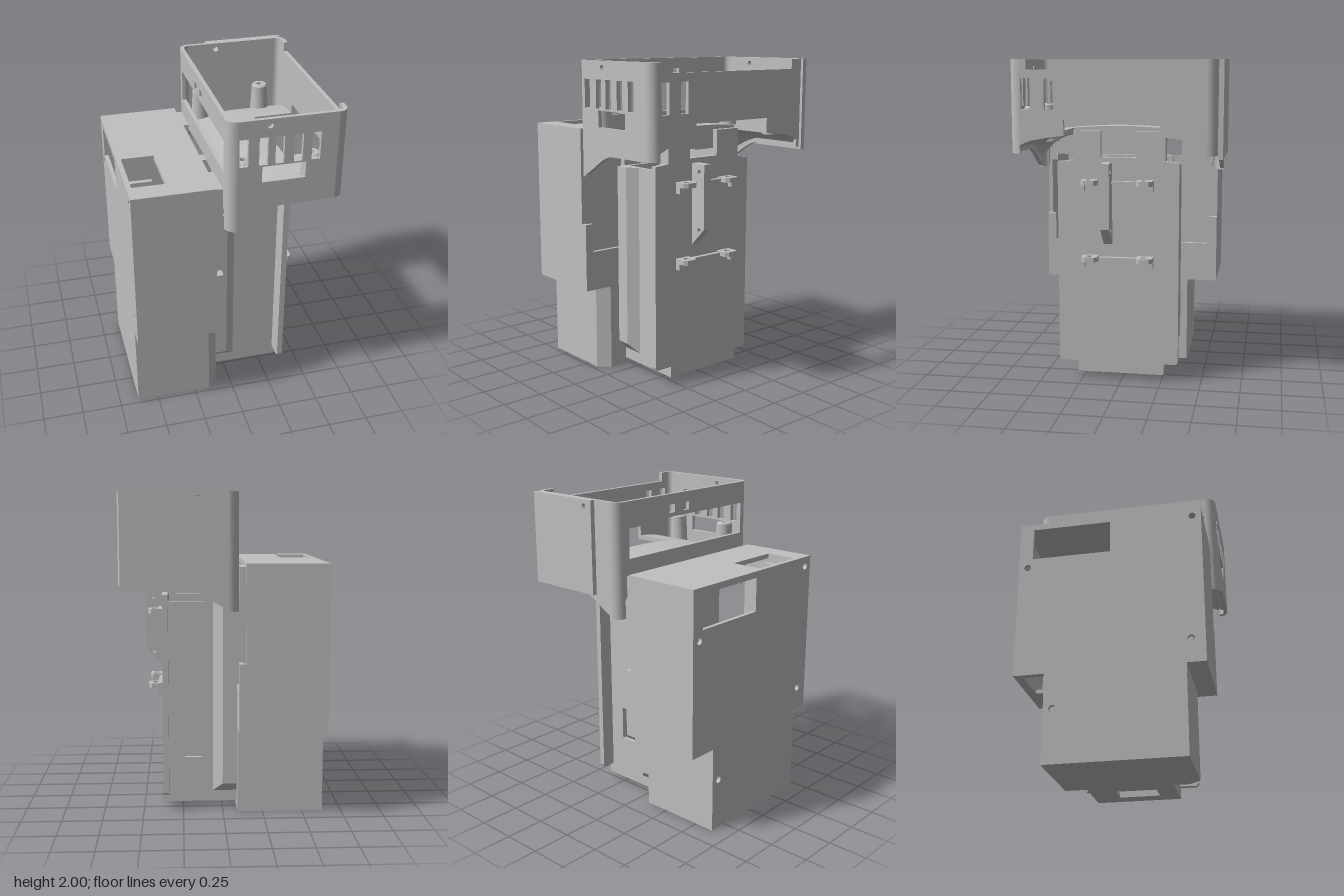
import * as THREE from 'three';
import { toCreasedNormals } from 'three/addons/utils/BufferGeometryUtils.js';

export function createModel() {
  const model = new THREE.Group();
  const grey = new THREE.MeshStandardMaterial({ color: 0xc0c0c0 });
  grey.name = 'light grey plastic';

  const add = (name, geometry) => {
    const mesh = new THREE.Mesh(geometry, grey);
    mesh.name = name;
    model.add(mesh);
  };
  // box given by its limits on each axis
  const box = (name, x0, x1, y0, y1, z0, z1) =>
    add(name, new THREE.BoxGeometry(x1 - x0, y1 - y0, z1 - z0)
      .translate((x0 + x1) / 2, (y0 + y1) / 2, (z0 + z1) / 2));
  const rect = (a0, a1, b0, b1) => [[a0, b0], [a1, b0], [a1, b1], [a0, b1]];
  const disc = (a, b, r, n = 12) => Array.from({ length: n }, (_, i) =>
    [a + r * Math.cos(i / n * 2 * Math.PI), b + r * Math.sin(i / n * 2 * Math.PI)]);
  const extrude = (points, holes, depth) => {
    const vec = (list) => list.map(([a, b]) => new THREE.Vector2(a, b));
    const shape = new THREE.Shape(vec(points));
    holes.forEach((h) => shape.holes.push(new THREE.Path(vec(h))));
    return toCreasedNormals(new THREE.ExtrudeGeometry(shape, { depth, bevelEnabled: false }), 0.5);
  };
  // panels with an outline in (x, y), (z, y) and (x, z)
  const panelXY = (name, pts, holes, z0, z1) =>
    add(name, extrude(pts, holes, z1 - z0).translate(0, 0, z0));
  const panelZY = (name, pts, holes, x0, x1) =>
    add(name, extrude(pts, holes, x1 - x0).rotateY(-Math.PI / 2).translate(x1, 0, 0));
  const panelXZ = (name, pts, holes, y0, y1) =>
    add(name, extrude(pts, holes, y1 - y0).rotateX(Math.PI / 2).translate(0, y1, 0));

  // ---- side box, hollow, with a narrower foot ----
  panelZY('sideBoxOuterWall',
    [[-0.365, 0], [0.47, 0], [0.47, 0.55], [0.585, 0.55], [0.585, 1.58], [-0.555, 1.58], [-0.555, 0.55], [-0.365, 0.55]],
    [rect(-0.47, 0.02, 1.33, 1.54), disc(0.53, 1.52, 0.022), disc(-0.5, 1.27, 0.022),
      disc(0.5, 0.7, 0.022), disc(-0.31, 0.33, 0.022)], -0.63, -0.605);
  const sideProfile = [[-0.605, 0.55], [-0.09, 0.55], [-0.09, 0.98], [-0.13, 0.98], [-0.13, 1.58], [-0.605, 1.58]];
  panelXY('sideBoxFrontWall', sideProfile, [], 0.56, 0.585);
  panelXY('sideBoxBackWall', sideProfile, [], -0.555, -0.53);
  panelXZ('sideBoxTop', rect(-0.605, -0.13, -0.53, 0.56), [rect(-0.6, -0.4, 0.09, 0.45)], 1.55, 1.58);
  panelXZ('sideBoxBottom', rect(-0.605, -0.09, -0.53, 0.56), [rect(-0.59, -0.34, -0.5, -0.37)], 0.55, 0.575);
  panelZY('sideBoxInnerWall',
    [[-0.53, 0.575], [0.56, 0.575], [0.56, 0.98], [0.53, 0.98], [0.53, 0.8], [-0.49, 0.8], [-0.49, 0.98], [-0.53, 0.98]],
    [], -0.115, -0.09);
  box('sideBoxRib', -0.6, -0.46, 1.38, 1.55, 0.32, 0.35);
  box('sideBoxInnerRib', -0.605, -0.54, 0.575, 1.12, 0.44, 0.47);
  for (const [z0, z1] of [[0.34, 0.56], [-0.53, -0.32]]) {
    box('sideBoxTabPanel', -0.13, -0.09, 1.38, 1.56, z0, z1);
    const outer = z0 > 0 ? z1 - 0.05 : z0;
    box('sideBoxTabLip', -0.13, -0.08, 1.34, 1.38, outer, outer + 0.05);
  }
  panelXZ('sideBoxFoot',
    [[-0.605, -0.365], [-0.09, -0.365], [-0.09, 0.4], [-0.155, 0.47], [-0.605, 0.47]], [], 0, 0.55);

  // ---- upright column, open at the top ----
  box('columnFrontWall', -0.09, 0.34, 0.04, 1.33, 0.255, 0.28);
  panelXY('columnBackWall', rect(-0.09, 0.34, 0.04, 1.33), [rect(0.13, 0.24, 0.33, 0.55)], -0.265, -0.24);
  box('columnInnerWall', -0.09, -0.065, 0.04, 1.33, -0.24, 0.255);
  box('columnBackRail', -0.125, -0.09, 0.56, 1.38, -0.265, 0.28);
  panelXZ('columnBottom', rect(-0.065, 0.34, -0.24, 0.255),
    [rect(0.13, 0.27, -0.1, 0.16), rect(-0.03, 0.04, 0.02, 0.1)], 0.04, 0.065);

  // raised strips with a sloped side and a sloped lower end
  for (const [base, dir] of [[0.28, 1], [-0.265, -1]]) {
    const g = new THREE.BoxGeometry(0.15, 1.22, 0.055).translate(-0.015, 0.72, base + dir * 0.0275);
    const p = g.attributes.position;
    for (let i = 0; i < p.count; i++) {
      if (Math.abs(p.getZ(i) - base) < 0.03) continue;
      if (p.getX(i) > 0) p.setX(i, 0);
      if (p.getY(i) < 0.5) p.setY(i, 0.17);
    }
    g.computeVertexNormals();
    add('columnStrip', g);
  }

  // mounting plate, reaching up to the tray
  panelZY('mountingPlate',
    [[-0.265, 0.04], [0.28, 0.04], [0.28, 0.11], [0.385, 0.11], [0.4, 0.125], [0.4, 1.38], [0.3, 1.39], [0.3, 1.57],
      [0.13, 1.57], [0.13, 1.41], [-0.09, 1.41], [-0.09, 1.57], [-0.27, 1.57], [-0.27, 1.39], [-0.355, 1.38],
      [-0.355, 0.125], [-0.34, 0.11], [-0.265, 0.11]], [], 0.34, 0.375);
  box('plateBeam', 0.29, 0.34, 1.46, 1.57, -0.09, 0.13);
  for (const z of [0.27, -0.27]) box('plateGusset', 0.29, 0.34, 1.38, 1.57, z, z + 0.03);
  panelXY('mountingFin', [[0.375, 0.87], [0.485, 0.98], [0.485, 1.38], [0.375, 1.38]],
    [disc(0.44, 0.97, 0.015), disc(0.44, 1.33, 0.015)], 0.058, 0.112);

  // paired lugs joined by a thin bar
  for (const y of [0.785, 1.26]) {
    box('bracketBar', 0.375, 0.405, y - 0.012, y + 0.006, -0.12, 0.15);
    for (const z of [0.19, -0.15]) {
      panelXZ('bracketLug',
        [[0.375, z - 0.05], [0.445, z - 0.05], [0.465, z - 0.03], [0.465, z + 0.03], [0.445, z + 0.05], [0.375, z + 0.05]],
        [disc(0.42, z, 0.022)], y - 0.015, y + 0.015);
      const end = z > 0 ? z + 0.038 : z - 0.05;
      box('bracketTail', 0.375, 0.41, y - 0.055, y - 0.015, end, end + 0.012);
    }
  }

  // ---- tray on top, with a gently arched floor that drops at the ends ----
  const floorY = (x, z) => {
    const t = Math.abs(z - 0.0125) / 0.61;
    const side = 1 - THREE.MathUtils.smoothstep(x, -0.1, 0.26);
    return 1.6 - 0.03 * side - 0.06 * t ** 2 - 0.06 * t ** 10 - 0.12 * side * t ** 8;
  };
  const floor = (x0, x1, z0, z1, nx, nz) => {
    const g = new THREE.BoxGeometry(x1 - x0, 0.03, z1 - z0, nx, 1, nz)
      .translate((x0 + x1) / 2, 0, (z0 + z1) / 2);
    const p = g.attributes.position;
    for (let i = 0; i < p.count; i++) p.setY(i, p.getY(i) - 0.015 + floorY(p.getX(i), p.getZ(i)));
    g.computeVertexNormals();
    add('trayFloor', g);
  };
  floor(-0.06, 0.34, -0.58, 0.605, 12, 48);
  floor(0.34, 0.605, -0.58, -0.27, 4, 14);
  floor(0.34, 0.605, 0.3, 0.605, 4, 14);

  const steps = (a, b, n, f) => Array.from({ length: n + 1 }, (_, i) => {
    const t = a + (b - a) * i / n;
    return [t, f(t) - 0.03];
  });
  const X0 = -0.085, X1 = 0.625, Z0 = -0.6, Z1 = 0.625, R = 0.06, T = 0.025;
  const slots = [-0.015, 0.1, 0.195, 0.305, 0.41].map((x) => rect(x, x + 0.052, 1.72, 1.89));
  const endWall = (z) => [...steps(X0 + R, X1 - R, 14, (x) => floorY(x, z)), [X1 - R, 2], [X0 + R, 2]];
  panelXY('trayFrontWall', endWall(Z1),
    [...slots, rect(0.12, 0.38, 1.61, 1.71), disc(0.16, 1.96, 0.018, 6)], Z1 - T, Z1);
  panelXY('trayBackWall', endWall(Z0), [disc(0.16, 1.96, 0.018, 6)], Z0, Z0 + T);
  panelXY('trayBackPad', rect(0.1, 0.61, 1.43, 2), [disc(0.16, 1.96, 0.018, 6)], -0.63, Z0);

  // outer long wall, cut away over the floor opening and along its rim
  panelZY('trayOuterWall',
    [...steps(Z0 + R, -0.27, 10, (z) => floorY(X1, z)), [-0.27, 1.65], [0.3, 1.65],
      ...steps(0.3, Z1 - R, 10, (z) => floorY(X1, z)),
      [Z1 - R, 2], [0.52, 2], [0.52, 1.94], [-0.48, 1.94], [-0.48, 2], [Z0 + R, 2]],
    [rect(0.5, 0.555, 1.71, 1.89), rect(0.36, 0.415, 1.71, 1.89)], X1 - T, X1);
  // inner long wall with its wide window
  panelZY('trayInnerWall',
    [...steps(Z0 + R, Z1 - R, 30, (z) => floorY(X0, z)), [Z1 - R, 2], [Z0 + R, 2]],
    [rect(-0.5, 0.55, 1.66, 1.86), rect(-0.15, -0.1, 1.885, 1.935), rect(-0.02, 0.03, 1.885, 1.935)], X0, X0 + T);

  // rounded corners
  for (const [cx, sx] of [[X0 + R, -1], [X1 - R, 1]]) {
    for (const [cz, sz] of [[Z0 + R, -1], [Z1 - R, 1]]) {
      const arc = (r) => Array.from({ length: 7 }, (_, i) => {
        const a = i / 6 * Math.PI / 2;
        return [cx + sx * r * Math.cos(a), cz + sz * r * Math.sin(a)];
      });
      panelXZ('trayCorner', [...arc(R), ...arc(R - T).reverse()], [], sx < 0 ? 1.3 : 1.45, 2);
    }
  }

  // screw posts
  for (const x of [0.035, 0.445]) {
    for (const z of [-0.5, 0.53]) {
      const base = floorY(x, z) - 0.025;
      const profile = [[0.02, base], [0.06, base], [0.052, 1.71], [0.044, 1.72], [0.02, 1.72], [0.02, base]]
        .map(([r, y]) => new THREE.Vector2(r, y));
      add('screwPost', toCreasedNormals(new THREE.LatheGeometry(profile, 16), 0.6).translate(x, 0, z));
    }
  }
  return model;
}
